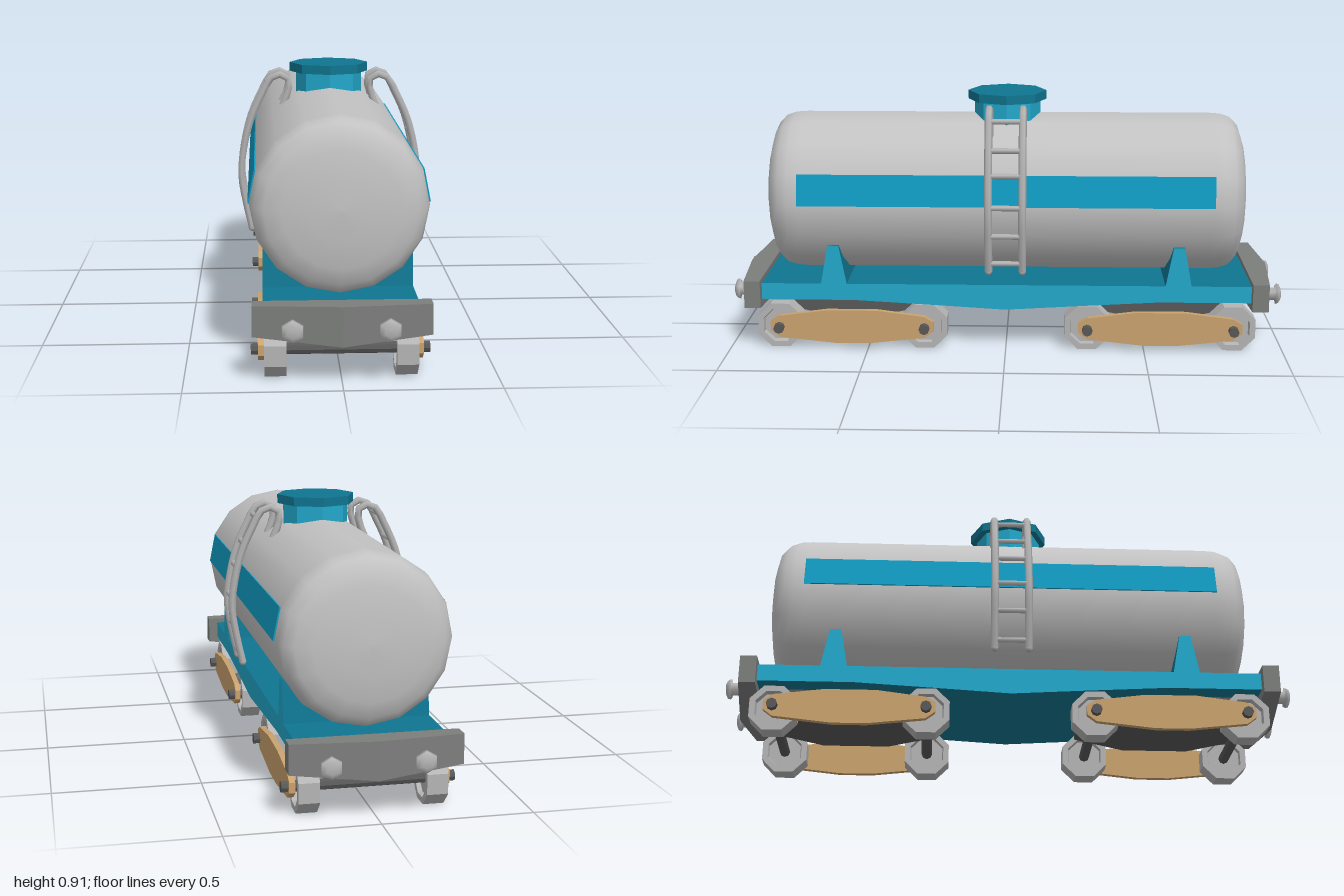
import * as THREE from 'three';

const mat = (name, color, extra = {}) => {
  const m = new THREE.MeshStandardMaterial({ color, ...extra });
  m.name = name;
  return m;
};

export function createModel() {
  const root = new THREE.Group();
  root.name = 'tankWagon';

  const tankGrey = mat('tank grey', 0xc2c2c2);
  const steel = mat('light steel', 0xb4b4b4);
  const steelFlat = mat('wheel steel', 0xb4b4b4, { flatShading: true });
  const beamGrey = mat('beam grey', 0x7c7e7c, { flatShading: true });
  const darkGrey = mat('dark grey', 0x585858, { flatShading: true });
  const blue = mat('bright blue', 0x22a8cb, { flatShading: true });
  const stripeBlue = mat('stripe blue', 0x109ac0);
  const teal = mat('deep teal', 0x0f7590, { flatShading: true });
  const tan = mat('tan', 0xc9a26e, { flatShading: true });

  const add = (parent, name, geometry, material, x = 0, y = 0, z = 0) => {
    const mesh = new THREE.Mesh(geometry, material);
    mesh.name = name;
    mesh.position.set(x, y, z);
    parent.add(mesh);
    return mesh;
  };
  const group = (name, parent = root) => {
    const g = new THREE.Group();
    g.name = name;
    parent.add(g);
    return g;
  };
  const vecs = (pts) => pts.map(([a, b]) => new THREE.Vector2(a, b));
  // side profile in (z, y), extruded across the width
  const across = (pts, width) => {
    const g = new THREE.ExtrudeGeometry(new THREE.Shape(vecs(pts)), { depth: width, bevelEnabled: false });
    return g.translate(0, 0, -width / 2).rotateY(Math.PI / 2);
  };
  // full profile from its right half (listed bottom to top)
  const mirrored = (half) => [...half, ...half.filter((p) => p[0] > 0).reverse().map(([a, b]) => [-a, b])];

  // tank with rounded ends
  const cap = [[0, 0.872], [0.1, 0.868], [0.19, 0.855], [0.245, 0.838], [0.275, 0.81], [0.287, 0.775], [0.29, 0.735]];
  const tankProfile = [...cap.map(([r, z]) => [r, -z]), ...[...cap].reverse()];
  add(root, 'tank', new THREE.LatheGeometry(vecs(tankProfile), 16).rotateX(Math.PI / 2), tankGrey, 0, 0.545, 0);

  // coloured stripe on one facet of each flank
  for (const s of [-1, 1]) {
    const a = Math.PI / 16, r = 0.2845;
    const stripe = add(root, 'stripe', new THREE.BoxGeometry(0.009, 0.112, 1.475), stripeBlue,
      s * r * Math.cos(a), 0.545 + r * Math.sin(a), 0);
    stripe.rotation.z = s * a;
  }

  // filler neck and lid
  add(root, 'neck', new THREE.CylinderGeometry(0.12, 0.12, 0.15, 8), blue, 0, 0.812, 0);
  add(root, 'lid', new THREE.CylinderGeometry(0.142, 0.142, 0.032, 8), teal, 0, 0.9, 0);

  // chassis with a shallow belly, and the tank saddles
  const chassis = [[0, 0.155], [0.25, 0.17], [0.55, 0.187], [0.885, 0.187], [0.885, 0.248]];
  add(root, 'chassis', across(mirrored(chassis), 0.496), [blue, teal]);
  for (const z of [-0.62, 0.62]) {
    add(root, 'saddle', across(mirrored([[0.048, 0.24], [0.02, 0.39]]), 0.496), [blue, teal], 0, 0, z);
  }

  // ladders: two bent rails and rungs on each flank
  const railPoints = [[0.285, 0.31], [0.307, 0.41], [0.322, 0.515], [0.31, 0.62], [0.284, 0.72],
    [0.243, 0.81], [0.212, 0.865], [0.18, 0.878], [0.148, 0.86], [0.15, 0.815], [0.17, 0.765]];
  const rungs = [[0.291, 0.34], [0.312, 0.445], [0.319, 0.55], [0.299, 0.66], [0.272, 0.745], [0.227, 0.84]];
  for (const s of [-1, 1]) {
    const ladder = group('ladder');
    const path = new THREE.CurvePath();
    const pts = railPoints.map(([x, y]) => new THREE.Vector3(s * x, y, 0));
    const rail = new THREE.TubeGeometry(new THREE.CatmullRomCurve3(pts), 22, 0.014, 6);
    for (const z of [-0.06, 0.06]) {
      add(ladder, 'rail', rail, steel, 0, 0, z);
      // closed foot of the rail
      add(ladder, 'railFoot', new THREE.SphereGeometry(0.014, 6, 4), steel, s * 0.285, 0.31, z);
    }
    const rung = new THREE.CylinderGeometry(0.01, 0.01, 0.12, 6).rotateX(Math.PI / 2);
    for (const [x, y] of rungs) add(ladder, 'rung', rung, steel, s * x, y, 0);
  }

  // end beams, bulging forward and down in the middle, with buffers
  const beam = new THREE.BoxGeometry(0.566, 0.1, 0.058, 2, 1, 1);
  const p = beam.attributes.position;
  for (let i = 0; i < p.count; i++) {
    if (Math.abs(p.getX(i)) > 0.01) continue;
    if (p.getZ(i) > 0) p.setZ(i, p.getZ(i) + 0.025);
    if (p.getY(i) < 0) p.setY(i, p.getY(i) - 0.03);
  }
  beam.computeVertexNormals();
  const bufferProfile = [[0.024, -0.07], [0.024, -0.022], [0.039, -0.018], [0.036, -0.008], [0.02, -0.001], [0, 0]];
  const buffer = new THREE.LatheGeometry(vecs(bufferProfile), 6).rotateX(Math.PI / 2);
  for (const turn of [0, Math.PI]) {
    const end = group('wagonEnd');
    end.rotation.y = turn;
    add(end, 'endBeam', beam, beamGrey, 0, 0.215, 0.911);
    for (const x of [-0.157, 0.146]) add(end, 'buffer', buffer, steel, x, 0.195, 1);
  }

  // bogies: body, wheels, axles and side frames
  const wheelProfile = [[0, -0.02], [0.062, -0.02], [0.066, -0.035], [0.088, -0.035],
    [0.088, 0.035], [0.066, 0.035], [0.062, 0.015], [0, 0.015]];
  const wheel = new THREE.LatheGeometry(vecs(wheelProfile), 8).rotateY(Math.PI / 8).rotateZ(-Math.PI / 2);
  const axle = new THREE.CylinderGeometry(0.019, 0.019, 0.575, 8).rotateZ(Math.PI / 2);
  const body = across(mirrored([[0.12, 0.11], [0.3, 0.15], [0.3, 0.188]]), 0.345);
  const sideFrame = across(mirrored([[0.06, 0.028], [0.262, 0.05], [0.295, 0.075], [0.295, 0.11],
    [0.262, 0.13], [0.09, 0.152]]), 0.02);
  for (const z of [-0.557, 0.557]) {
    const bogie = group('bogie');
    bogie.position.z = z;
    add(bogie, 'bogieBody', body, darkGrey);
    for (const dz of [-0.263, 0.263]) {
      add(bogie, 'axle', axle, darkGrey, 0, 0.088, dz);
      for (const s of [-1, 1]) {
        const w = add(bogie, 'wheel', wheel, steelFlat, s * 0.21, 0.088, dz);
        if (s < 0) w.rotation.y = Math.PI;
      }
    }
    for (const s of [-1, 1]) add(bogie, 'sideFrame', sideFrame, tan, s * 0.255, 0, 0);
  }

  return root;
}
